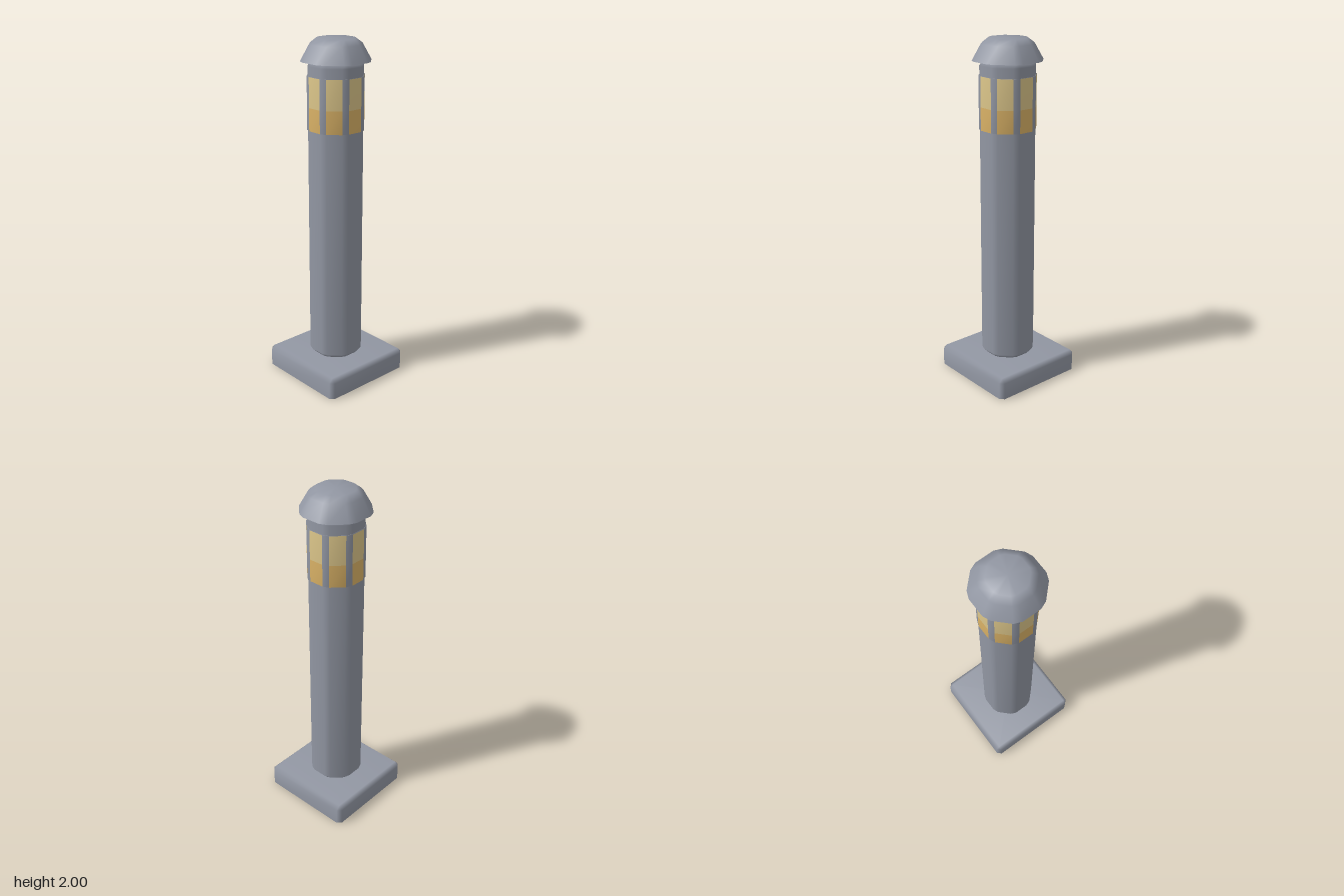
import * as THREE from 'three';
import { mergeVertices } from 'three/addons/utils/BufferGeometryUtils.js';

// Octagon with bevelled corners; r is the distance to the wide facets
function octagon(r) {
  const points = [];
  const half = THREE.MathUtils.degToRad(15.8);
  for (let k = 0; k < 8; k++) {
    for (const side of [-1, 1]) {
      const a = k * Math.PI / 4 + side * half;
      points.push([Math.cos(a) * r / Math.cos(half), Math.sin(a) * r / Math.cos(half)]);
    }
  }
  return points;
}

// Square with corners cut between half-widths r and inner
function cutSquare(r, inner) {
  const points = [];
  for (let k = 0; k < 4; k++) {
    const c = [1, 0, -1, 0][k], s = [0, 1, 0, -1][k];
    for (const t of [-inner, inner]) points.push([c * r - s * t, s * r + c * t]);
  }
  return points;
}

// Skin stacked rings [y, points] from bottom to top, with an optional lid.
// pick(row, segment) chooses a material index.
function loft(rings, lid, pick) {
  const n = rings[0][1].length;
  const positions = [], index = [];
  const geometry = new THREE.BufferGeometry();
  for (const [y, points] of rings) for (const [x, z] of points) positions.push(x, y, z);
  for (let i = 0; i < rings.length - 1; i++) {
    for (let j = 0; j < n; j++) {
      const a = i * n + j, b = i * n + (j + 1) % n;
      if (pick) geometry.addGroup(index.length, 6, pick(i, j));
      index.push(a, a + n, b, b, a + n, b + n);
    }
  }
  if (lid) {
    const top = (rings.length - 1) * n, centre = positions.length / 3;
    positions.push(0, rings[rings.length - 1][0], 0);
    for (let j = 0; j < n; j++) index.push(centre, top + (j + 1) % n, top + j);
  }
  geometry.setAttribute('position', new THREE.Float32BufferAttribute(positions, 3));
  geometry.setIndex(index);
  const merged = mergeVertices(geometry, 1e-5);
  merged.computeVertexNormals(); // area weighted, so bevels shade softly
  return merged;
}

const octRings = profile => profile.map(([y, r]) => [y, octagon(r)]);

export function createModel() {
  const model = new THREE.Group();
  const material = (name, color) => {
    const m = new THREE.MeshStandardMaterial({ color, side: THREE.DoubleSide });
    m.name = name;
    return m;
  };
  const metal = material('grey metal', 0x9297a3);
  const paleGlass = material('pale yellow glass', 0xdcc68a);
  const amberGlass = material('amber glass', 0xdcb468);

  const add = (name, geometry, mat) => {
    const mesh = new THREE.Mesh(geometry, mat);
    mesh.name = name;
    model.add(mesh);
  };

  // Hollow foot plate with bevelled edges
  add('base', loft([
    [0, cutSquare(0.29, 0.267)],
    [0.1, cutSquare(0.29, 0.267)],
    [0.125, cutSquare(0.267, 0.267)],
  ], true), metal);

  // Post, bevelled at both ends
  add('post', loft(octRings([
    [0.125, 0.13], [0.15, 0.152], [1.855, 0.152], [1.885, 0.13],
  ]), true), metal);

  // Lamp band: two-tone panes on the wide facets, metal between them
  add('lampBand', loft(octRings([
    [1.5, 0.15], [1.5, 0.157], [1.63, 0.157], [1.8, 0.157], [1.8, 0.15],
  ]), false, (row, seg) => (seg % 2 === 0 && (row === 1 || row === 2) ? row : 0)),
  [metal, amberGlass, paleGlass]);

  // Overhanging hollow cap
  add('cap', loft(octRings([
    [1.88, 0.192], [1.97, 0.143], [2, 0.105],
  ]), true), metal);

  return model;
}
